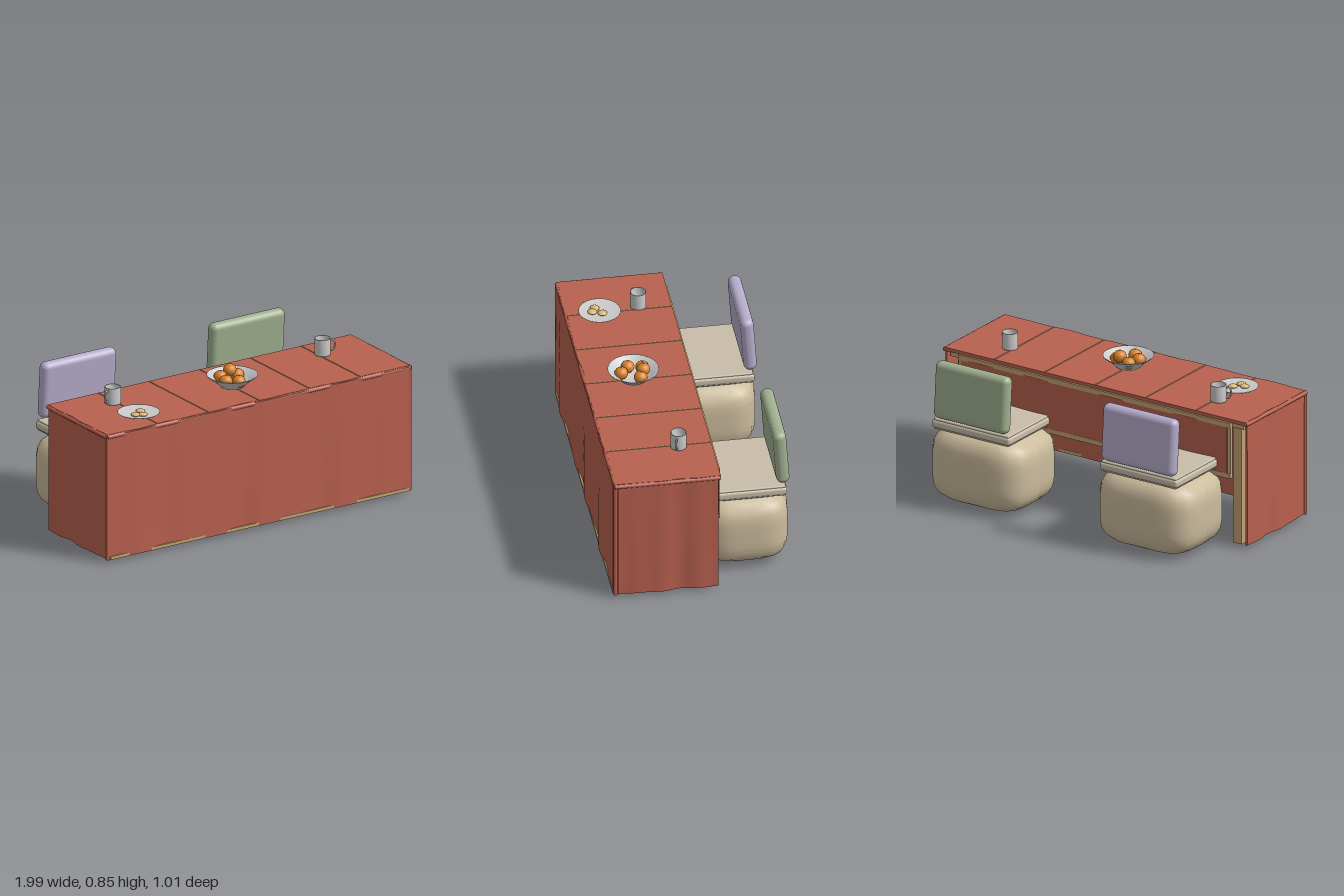
import * as THREE from 'three';
import { RoundedBoxGeometry } from 'three/addons/geometries/RoundedBoxGeometry.js';

const mat = (color, side = THREE.FrontSide) => new THREE.MeshStandardMaterial({ color, side });
const red = mat(0xb8604f), wood = mat(0xc4a274), beige = mat(0xcbbb9c), cream = mat(0xc8bda8);
const lilac = mat(0xb5accb), green = mat(0xa0b090), orange = mat(0xd9822b), bun = mat(0xd9b878);
const grey = mat(0xcccccc, THREE.DoubleSide), leaf = mat(0x5c7a3a);

function add(parent, name, geo, material, x = 0, y = 0, z = 0) {
  const m = new THREE.Mesh(geo, material);
  m.name = name;
  m.position.set(x, y, z);
  parent.add(m);
  return m;
}

// Moves every vertex by a rule, then refreshes the normals.
function warp(geo, rule) {
  const p = geo.attributes.position, v = new THREE.Vector3();
  for (let i = 0; i < p.count; i++) {
    rule(v.fromBufferAttribute(p, i));
    p.setXYZ(i, v.x, v.y, v.z);
  }
  geo.computeVertexNormals();
  return geo;
}

const ripple = (t, f) => 0.6 * Math.sin(t * f) + 0.4 * Math.sin(t * f * 1.7 + 1);
// Hanging folds deepen towards the hem.
const depth = y => 0.004 + 0.005 * (0.5 - y / 0.71);

function createTable() {
  const g = new THREE.Group();
  g.name = 'table';

  // Wooden frame
  add(g, 'tabletopBoard', new THREE.BoxGeometry(1.92, 0.035, 0.54), wood, 0, 0.7, 0.2);
  for (const x of [-0.9, 0.9]) for (const z of [0.425, -0.015])
    add(g, 'tableLeg', new THREE.BoxGeometry(0.055, 0.69, 0.055), wood, x, 0.345, z);
  add(g, 'frontBottomRail', new THREE.BoxGeometry(1.94, 0.018, 0.012), wood, 0, 0.026, 0.494);
  for (const y of [0.405, 0.7])
    add(g, 'backRail', new THREE.BoxGeometry(1.78, 0.028, 0.025), wood, 0, y, -0.088);
  for (const x of [-0.88, 0.88])
    add(g, 'backUpright', new THREE.BoxGeometry(0.02, 0.31, 0.02), wood, x, 0.55, -0.085);

  // Cloth over the top with gently waving edges
  add(g, 'topCloth', warp(new THREE.BoxGeometry(1.97, 0.02, 0.58, 80, 1, 24), v => {
    const x = v.x, z = v.z;
    v.x += Math.sign(x) * Math.abs(x) ** 12 * 0.006 * ripple(z, 22);
    if (z > 0.2) v.z += (z - 0.2) / 0.09 * 0.007 * ripple(x, 14);
  }), red, 0, 0.725, 0.2);

  // Hanging cloths
  add(g, 'frontCloth', warp(new THREE.BoxGeometry(1.95, 0.71, 0.012, 90, 6, 1), v => {
    v.z += depth(v.y) * ripple(v.x, 14);
  }), red, 0, 0.375, 0.492);
  for (const s of [-1, 1]) {
    add(g, 'sideCloth', warp(new THREE.BoxGeometry(0.012, 0.705, 0.55, 1, 6, 36), v => {
      v.x += s * depth(v.y) * ripple(v.z, 22);
    }), red, s * 0.982, 0.37, 0.198);
    add(g, 'cornerHem', new THREE.CylinderGeometry(0.011, 0.011, 0.71, 8), red, s * 0.982, 0.372, 0.487);
  }
  add(g, 'backCloth', warp(new THREE.BoxGeometry(1.74, 0.28, 0.012, 80, 4, 1), v => {
    v.z += 0.004 * ripple(v.x, 14);
  }), red, 0, 0.553, -0.094);

  // Rolled hems at the top edges
  const hem = (len, x, z, alongX) => {
    const m = add(g, 'topHem', new THREE.CylinderGeometry(0.012, 0.012, len, 8), red, x, 0.722, z);
    if (alongX) m.rotation.z = Math.PI / 2; else m.rotation.x = Math.PI / 2;
  };
  hem(1.97, 0, 0.488, true);
  for (const s of [-1, 1]) hem(0.58, s * 0.985, 0.2, false);

  // Seams across the top
  for (let i = -2; i <= 2; i++)
    add(g, 'topSeam', new THREE.BoxGeometry(0.006, 0.004, 0.57), wood, i * 0.33, 0.736, 0.2);
  return g;
}

function createChair(x, backMaterial) {
  const g = new THREE.Group();
  g.name = 'chair';
  g.position.x = x;

  // Plump base: a sphere pushed out towards a cube
  add(g, 'poufBase', warp(new THREE.SphereGeometry(1, 32, 20), v => {
    const n = 4.2;
    const r = (Math.abs(v.x) ** n + Math.abs(v.y) ** n + Math.abs(v.z) ** n) ** (-1 / n);
    v.multiplyScalar(r).multiply(new THREE.Vector3(0.305, 0.212, 0.243));
  }), beige, 0, 0.222, -0.262);

  // Seat cushion with piped upper and lower edges
  add(g, 'seat', new RoundedBoxGeometry(0.51, 0.045, 0.415, 3, 0.015), cream, 0, 0.462, -0.278);
  for (const y of [0.438, 0.486])
    add(g, 'seatPanel', new RoundedBoxGeometry(0.49, 0.016, 0.4, 2, 0.007), cream, 0, y, -0.278);

  const back = add(g, 'backrest', new RoundedBoxGeometry(0.48, 0.325, 0.073, 5, 0.034), backMaterial, 0, 0.662, -0.457);
  back.rotation.x = 0.07;
  return g;
}

const lathe = pts => new THREE.LatheGeometry(pts.map(([r, y]) => new THREE.Vector2(r, y)), 32);

function createMug(x, z, side) {
  const g = new THREE.Group();
  g.name = 'mug';
  g.position.set(x, 0.738, z);
  add(g, 'mugBody', lathe([[0, 0], [0.041, 0], [0.044, 0.004], [0.044, 0.094], [0.042, 0.097],
    [0.039, 0.094], [0.039, 0.008], [0, 0.008]]), grey);
  const path = new THREE.CatmullRomCurve3([[0.042, 0.08], [0.058, 0.082], [0.068, 0.068],
    [0.066, 0.035], [0.056, 0.02], [0.042, 0.022]].map(([a, b]) => new THREE.Vector3(a, b, 0)));
  add(g, 'mugHandle', new THREE.TubeGeometry(path, 24, 0.005, 8), grey);
  g.rotation.y = side > 0 ? -0.35 : Math.PI + 0.35;
  return g;
}

function createFruitBowl() {
  const g = new THREE.Group();
  g.name = 'fruitBowl';
  g.position.set(0, 0.738, 0.23);
  add(g, 'bowl', lathe([[0, 0], [0.065, 0], [0.07, 0.008], [0.1, 0.037], [0.138, 0.064], [0.139, 0.068],
    [0.133, 0.067], [0.096, 0.042], [0.062, 0.012], [0, 0.01]]), grey);
  const fruit = [[-0.04, 0.046, -0.055], [0.055, 0.046, -0.032], [-0.055, 0.046, 0.022],
    [0, 0.046, 0.065], [0.02, 0.073, -0.052]];
  for (const [x, y, z] of fruit) {
    add(g, 'orange', new THREE.SphereGeometry(0.037, 20, 14), orange, x, y, z).scale.y = 0.92;
    const stem = add(g, 'orangeStem', new THREE.ConeGeometry(0.007, 0.008, 6), leaf, x, y + 0.035, z);
    stem.rotation.z = 0.3;
  }
  return g;
}

function createPlate() {
  const g = new THREE.Group();
  g.name = 'plate';
  g.position.set(-0.66, 0.737, 0.307);
  add(g, 'plateDish', lathe([[0, 0], [0.07, 0], [0.112, 0.01], [0.115, 0.013], [0.108, 0.013],
    [0.068, 0.004], [0, 0.004]]), grey);
  for (const [x, z] of [[0.02, -0.012], [-0.034, 0.022], [0, 0.04]])
    add(g, 'bun', new THREE.SphereGeometry(0.026, 18, 12), bun, x, 0.009, z).scale.y = 0.42;
  return g;
}

export function createModel() {
  const model = new THREE.Group();
  model.name = 'tableWithTwoChairs';
  model.add(createTable(), createChair(-0.55, lilac), createChair(0.547, green),
    createMug(-0.685, 0.092, -1), createMug(0.68, 0.092, 1), createFruitBowl(), createPlate());
  return model;
}
